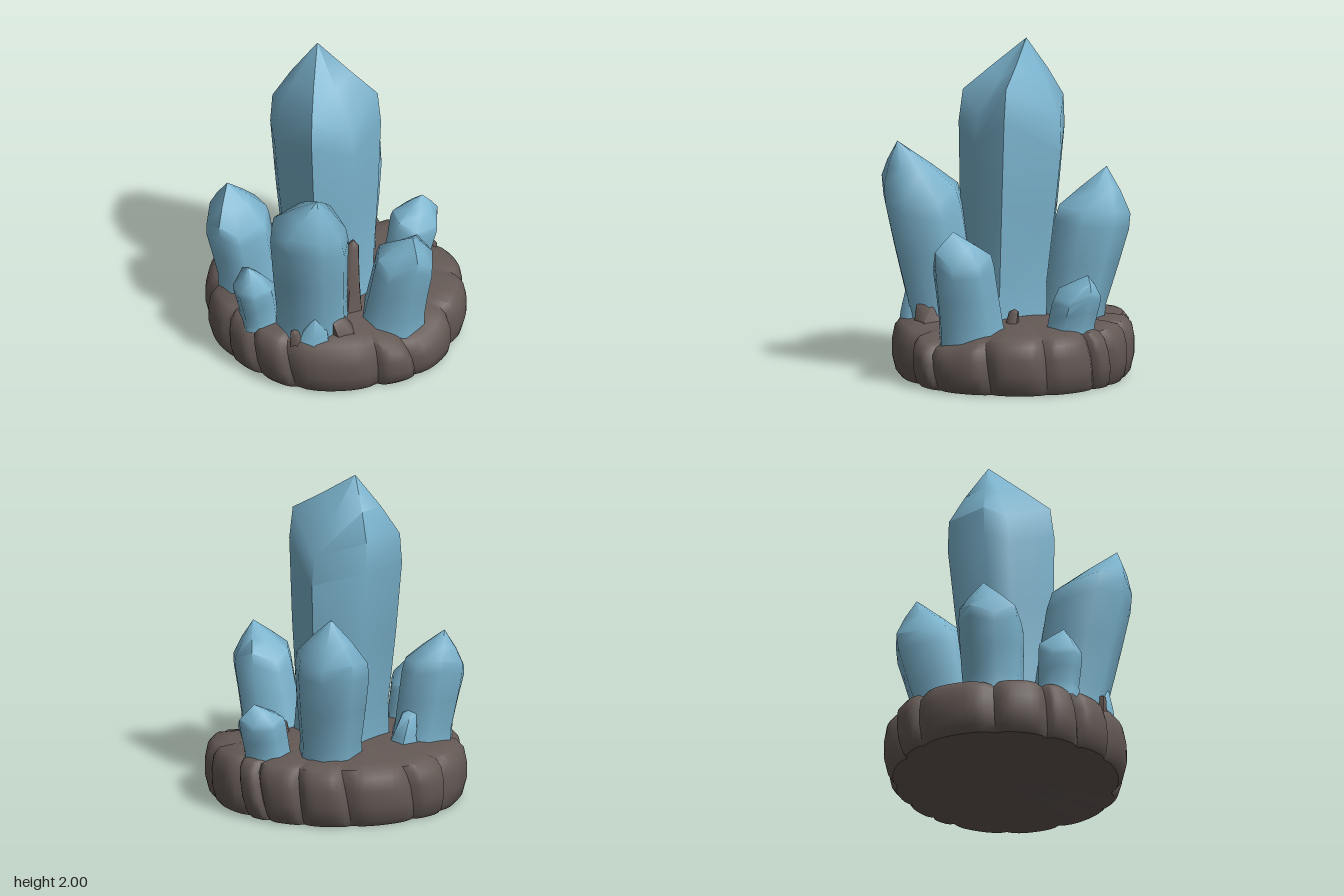
import * as THREE from 'three';
import { toCreasedNormals } from 'three/addons/utils/BufferGeometryUtils.js';

const TAU = Math.PI * 2;

function seeded(seed) {
  let s = seed;
  return () => {
    s = (s * 16807) % 2147483647;
    return s / 2147483647;
  };
}

// Skin a stack of rings (bottom to top); a ring holding one point is an apex
function loft(rings, crease) {
  const n = Math.max(...rings.map((r) => r.length));
  const pos = [];
  const at = (r, i) => r[i % r.length];
  for (let j = 0; j < rings.length - 1; j++) {
    const lo = rings[j], hi = rings[j + 1];
    for (let i = 0; i < n; i++) {
      const a = at(lo, i), b = at(lo, i + 1), c = at(hi, i), d = at(hi, i + 1);
      if (lo.length > 1) pos.push(...a, ...c, ...b);
      if (hi.length > 1) pos.push(...b, ...c, ...d);
    }
  }
  const g = new THREE.BufferGeometry();
  g.setAttribute('position', new THREE.Float32BufferAttribute(pos, 3));
  return toCreasedNormals(g, crease);
}

// Corners of a crystal: angle, shoulder lift, radius factor
function randomCorners(sides, turn, r, seed) {
  const rnd = seeded(seed);
  return Array.from({ length: sides }, (_, i) => [
    turn + ((i + (rnd() - 0.5) * 0.25) / sides) * TAU,
    (rnd() - 0.5) * 0.6 * r,
    0.98 + rnd() * 0.07,
  ]);
}

// Leaning prism with uneven soft shoulders and a pointed crown
function crystalGeometry({ base, shoulder, tip, r0, r1, sides, turn, seed, corners }) {
  const cols = corners ?? randomCorners(sides, turn, r1, seed);
  const lerp = (p, q, t) => p.map((v, i) => v + (q[i] - v) * t);
  const ring = (c, r, rise) => cols.map(([a, lift, k]) => [
    c[0] + Math.cos(a) * r * k, c[1] + lift * rise, c[2] + Math.sin(a) * r * k]);
  // fraction along the axis, radius, share of the uneven lift
  const body = [[-0.12, r0 * 1.12, 0], [0.04, r0 * 1.05, 0], [0.2, r0 * 0.97 + r1 * 0.03, 0],
    [0.55, r0 * 0.4 + r1 * 0.6, 0.3], [0.88, r1, 0.9], [1.02, r1 * 0.95, 1]];
  return loft([
    ...body.map(([t, r, rise]) => ring(lerp(base, shoulder, t), r, rise)),
    ring(lerp(shoulder, tip, 0.5), r1 * 0.54, 0.45),
    [tip],
  ], 1.05);
}

// Ring of irregular rounded boulders fused into one slab
function rockGeometry() {
  const rnd = seeded(77);
  const lumps = 14;
  const steps = 9;
  const bounds = [];
  for (let i = 0; i < lumps; i++) bounds.push(((i + (rnd() - 0.5) * 0.75) / lumps) * TAU);
  bounds.push(bounds[0] + TAU);
  const lump = Array.from({ length: lumps }, () => ({
    out: (rnd() - 0.5) * 0.04, rise: (rnd() - 0.5) * 0.03, skew: 0.2 + rnd() * 1.6,
  }));
  // radius factor, height factor, groove depth, sideways skew
  const rows = [[0.93, 0, 0.6, 0], [0.97, 0.1, 0.8, 0.01], [1, 0.35, 1, 0.03], [1, 0.62, 1, 0.05],
    [0.98, 0.84, 1, 0.07], [0.93, 0.96, 0.9, 0.08], [0.8, 1.0, 0.5, 0.08], [0.5, 1.03, 0.15, 0.05]];
  const rings = rows.map(([f, h, groove, skew]) => {
    const ring = [];
    for (let i = 0; i < lumps; i++) {
      const cur = lump[i], next = lump[(i + 1) % lumps];
      for (let s = 0; s < steps; s++) {
        const t = s / steps;
        const mix = (key) => cur[key] * (1 - t) + next[key] * t;
        const a = bounds[i] + (bounds[i + 1] - bounds[i]) * t + skew * mix('skew');
        const dip = Math.pow(Math.abs(2 * t - 1), 4) * groove;
        const r = f * (0.75 + 0.028 * Math.sin(2 * a) + 0.008 * Math.cos(2 * a) + mix('out') - 0.045 * dip);
        const x = Math.cos(a) * r, z = Math.sin(a) * r;
        // the rim sinks in front of the front crystal
        const sink = Math.exp(-((x - 0.22) ** 2) / 0.09 - ((z - 0.68) ** 2) / 0.06);
        const top = 0.355 + mix('rise') * groove - 0.015 * dip - 0.085 * sink;
        ring.push([x, h * top, z]);
      }
    }
    return ring;
  });
  return loft([[[0, 0, 0]], ...rings, [[0, 0.4, 0]]], 0.8);
}

// Thin crooked splinter of rock or crystal
function shardGeometry(base, tip, r, seed) {
  const rnd = seeded(seed);
  const ring = (t, k) => Array.from({ length: 6 }, (_, i) => {
    const a = (i / 6) * TAU;
    const w = r * k * (0.8 + rnd() * 0.4);
    return [
      base[0] + (tip[0] - base[0]) * t + Math.cos(a) * w,
      base[1] + (tip[1] - base[1]) * t,
      base[2] + (tip[2] - base[2]) * t + Math.sin(a) * w,
    ];
  });
  return loft([ring(0, 1.1), ring(0.4, 0.8), ring(0.9, 0.55), [tip]], 1.1);
}

export function createModel() {
  const crystalBlue = new THREE.MeshStandardMaterial({ color: 0x7ab2cc });
  crystalBlue.name = 'crystalBlue';
  const rockBrown = new THREE.MeshStandardMaterial({ color: 0x645955 });
  rockBrown.name = 'rockBrown';

  const model = new THREE.Group();
  model.name = 'crystalCluster';
  const add = (name, geometry, material) => {
    const mesh = new THREE.Mesh(geometry, material);
    mesh.name = name;
    model.add(mesh);
  };

  add('rockBase', rockGeometry(), rockBrown);

  const mainCorners = [[-0.37, -0.08, 1.03], [0.8, 0.13, 1.1], [1.48, -0.05, 1.0], [2.27, 0.07, 1.08],
    [3.3, -0.06, 1.0], [3.75, 0.0, 1.05], [4.85, 0.02, 1.01]];
  const crystals = {
    mainCrystal: { base: [-0.05, 0.3, 0.02], shoulder: [-0.045, 1.6, -0.045], tip: [-0.06, 2, -0.12],
      r0: 0.255, r1: 0.316, corners: mainCorners },
    frontRightCrystal: { base: [-0.29, 0.3, 0.29], shoulder: [-0.38, 1.1, 0.42], tip: [-0.4, 1.4, 0.57],
      r0: 0.22, r1: 0.245, sides: 8, turn: 0.2, seed: 23 },
    backLeftCrystal: { base: [0.2, 0.3, -0.26], shoulder: [0.265, 0.98, -0.385], tip: [0.3, 1.25, -0.45],
      r0: 0.18, r1: 0.22, sides: 7, turn: 0.1, seed: 35 },
    frontLeftCrystal: { base: [0.17, 0.28, 0.42], shoulder: [0.205, 0.78, 0.52], tip: [0.22, 0.95, 0.59],
      r0: 0.195, r1: 0.185, sides: 8, turn: 0.1, seed: 47 },
    backRightCrystal: { base: [-0.46, 0.32, -0.21], shoulder: [-0.53, 0.8, -0.25], tip: [-0.56, 1.01, -0.31],
      r0: 0.18, r1: 0.192, sides: 8, turn: 0.3, seed: 59 },
    smallRightCrystal: { base: [-0.56, 0.33, 0.15], shoulder: [-0.605, 0.59, 0.15], tip: [-0.65, 0.73, 0.16],
      r0: 0.125, r1: 0.135, sides: 7, turn: 0.15, seed: 61 },
    smallLeftCrystal: { base: [0.5, 0.33, -0.05], shoulder: [0.56, 0.55, -0.065], tip: [0.62, 0.68, -0.1],
      r0: 0.14, r1: 0.145, sides: 7, turn: 0.1, seed: 83 },
  };
  for (const [name, spec] of Object.entries(crystals)) add(name, crystalGeometry(spec), crystalBlue);

  // Splinters between the crystals
  add('tallRockShard', shardGeometry([-0.06, 0.3, 0.3], [-0.02, 0.81, 0.28], 0.085, 5), rockBrown);
  add('leftRockShard', shardGeometry([0.25, 0.3, 0.2], [0.26, 0.45, 0.18], 0.06, 6), rockBrown);
  add('frontRockShard', shardGeometry([-0.17, 0.28, 0.46], [-0.25, 0.45, 0.47], 0.11, 7), rockBrown);
  add('sideRockShard', shardGeometry([-0.46, 0.28, 0.45], [-0.49, 0.41, 0.45], 0.05, 3), rockBrown);
  add('crystalStub', shardGeometry([-0.36, 0.28, 0.47], [-0.36, 0.52, 0.47], 0.11, 8), crystalBlue);
  add('backCrystalStub', shardGeometry([-0.28, 0.3, -0.27], [-0.33, 0.55, -0.31], 0.1, 9), crystalBlue);
  return model;
}
